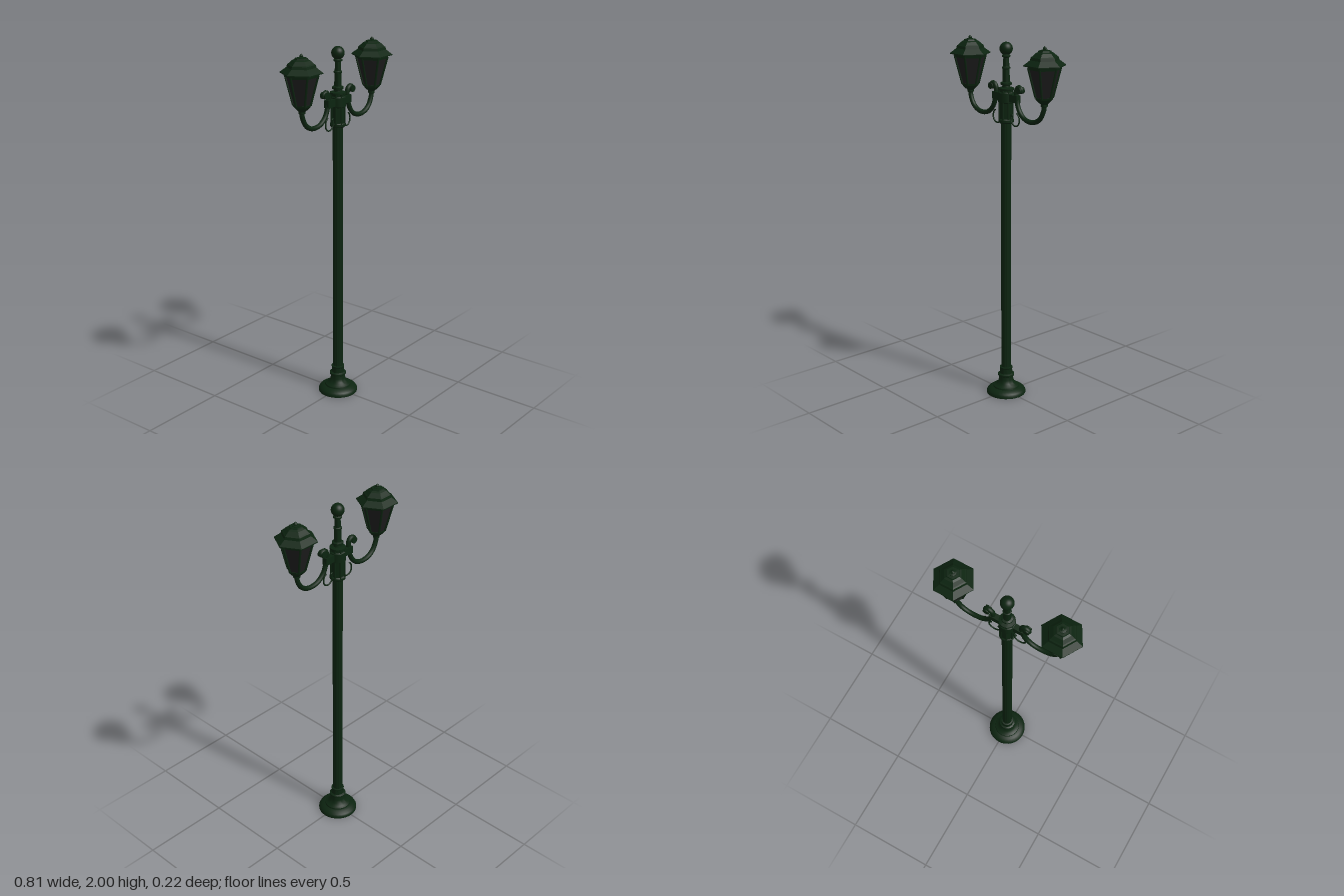
import * as THREE from 'three';
import { toCreasedNormals } from 'three/addons/utils/BufferGeometryUtils.js';

const iron = new THREE.MeshStandardMaterial({ color: 0x0c2410 });
const ironFlat = new THREE.MeshStandardMaterial({ color: 0x0c2410, flatShading: true });
const glass = new THREE.MeshStandardMaterial({ color: 0x1c1c1c, flatShading: true });

function add(parent, name, geometry, material = iron) {
  const mesh = new THREE.Mesh(geometry, material);
  mesh.name = name;
  parent.add(mesh);
  return mesh;
}

// Turned part from [radius, y] pairs, bottom to top
function turned(points, sides = 32) {
  const geo = new THREE.LatheGeometry(points.map(p => new THREE.Vector2(...p)), sides);
  return toCreasedNormals(geo, 0.6);
}

// Six-sided turned part with corners on the x axis
function hexTurned(points) {
  return new THREE.LatheGeometry(points.map(p => new THREE.Vector2(...p)), 6, Math.PI / 6);
}

// Bent rod through [x, y] points
function rod(points, radius, segments = 48) {
  const curve = new THREE.CatmullRomCurve3(points.map(([x, y]) => new THREE.Vector3(x, y, 0)));
  return new THREE.TubeGeometry(curve, segments, radius, 10);
}

// Straight round bar between two points
function bar(a, b, radius) {
  return new THREE.TubeGeometry(new THREE.LineCurve3(a, b), 1, radius, 6);
}

// Shaft with shallow vertical flutes
function flutedShaft(radius, bottom, top, flutes) {
  const geo = new THREE.CylinderGeometry(radius, radius, top - bottom, flutes * 4, 1, true);
  const pos = geo.attributes.position;
  for (let i = 0; i < pos.count; i++) {
    const angle = Math.atan2(pos.getX(i), pos.getZ(i));
    const s = 0.96 + 0.04 * Math.cos(angle * flutes);
    pos.setXYZ(i, pos.getX(i) * s, pos.getY(i), pos.getZ(i) * s);
  }
  geo.translate(0, (top + bottom) / 2, 0);
  geo.computeVertexNormals();
  return geo;
}

function createLantern() {
  const lantern = new THREE.Group();
  lantern.name = 'lantern';
  const low = 1.735, high = 1.892, rLow = 0.045, rHigh = 0.086;

  add(lantern, 'glassPanes', hexTurned([[0, low], [rLow - 0.003, low], [rHigh - 0.003, high], [0, high]]), glass);
  add(lantern, 'lanternCup', hexTurned([
    [0, 1.708], [0.026, 1.708], [0.036, 1.718], [rLow, 1.728], [rLow + 0.003, 1.738], [0, 1.738]]), ironFlat);
  add(lantern, 'topFrame', hexTurned([
    [0, 1.882], [rHigh, 1.882], [rHigh + 0.005, 1.9], [0, 1.9]]), ironFlat);

  // Frame bars along the six corners
  for (let i = 0; i < 6; i++) {
    const a = i * Math.PI / 3, c = Math.cos(a), s = Math.sin(a);
    add(lantern, 'frameBar', bar(
      new THREE.Vector3(c * rLow, low, s * rLow),
      new THREE.Vector3(c * rHigh, high, s * rHigh), 0.006));
  }

  // Flared brim and stepped cap
  add(lantern, 'roof', hexTurned([
    [0, 1.895], [0.09, 1.896], [0.111, 1.9], [0.111, 1.905], [0.077, 1.93], [0.073, 1.944],
    [0.066, 1.949], [0.048, 1.965], [0.036, 1.971], [0.033, 1.977], [0, 1.979]]), ironFlat);
  add(lantern, 'roofFinial', turned([
    [0.018, 1.974], [0.018, 1.98], [0.009, 1.983], [0.01, 1.989], [0.006, 1.994], [0, 2]], 16));
  lantern.position.x = 0.295;
  return lantern;
}

function createSide() {
  const side = new THREE.Group();
  side.name = 'lampArm';
  side.add(createLantern());

  // Swan-neck arm from the lantern to the collar
  add(side, 'arm', rod([
    [0.295, 1.715], [0.293, 1.675], [0.268, 1.625], [0.232, 1.6], [0.19, 1.593],
    [0.145, 1.603], [0.11, 1.632], [0.091, 1.67], [0.083, 1.71]], 0.013));
  add(side, 'armSocket', turned([
    [0.013, 1.688], [0.018, 1.692], [0.018, 1.702], [0.025, 1.71]], 16)).position.x = 0.295;

  // Scroll at the inner end of the arm
  add(side, 'scroll', rod([
    [0.083, 1.7], [0.08, 1.73], [0.086, 1.754], [0.103, 1.764], [0.119, 1.756], [0.121, 1.741]], 0.013));
  const eye = add(side, 'scrollEye', new THREE.CylinderGeometry(0.018, 0.018, 0.034, 20));
  eye.rotation.x = Math.PI / 2;
  eye.position.set(0.111, 1.749, 0);

  // Bracket joining arm and collar
  const bracket = add(side, 'bracket', new THREE.BoxGeometry(0.065, 0.04, 0.03));
  bracket.position.set(0.065, 1.7, 0);

  // Thin curl under the arm
  add(side, 'curl', rod([
    [0.038, 1.6], [0.045, 1.57], [0.065, 1.554], [0.09, 1.558], [0.104, 1.58],
    [0.1, 1.608], [0.084, 1.625]], 0.004));
  add(side, 'curlTip', rod([[0.038, 1.6], [0.041, 1.612], [0.05, 1.609], [0.049, 1.6]], 0.004, 16));
  return side;
}

export function createModel() {
  const model = new THREE.Group();
  model.name = 'streetLamp';

  add(model, 'base', turned([
    [0, 0], [0.11, 0], [0.11, 0.012], [0.104, 0.022], [0.09, 0.032], [0.074, 0.037], [0.072, 0.044],
    [0.06, 0.05], [0.047, 0.062], [0.041, 0.08], [0.039, 0.098], [0.046, 0.103], [0.046, 0.113],
    [0.036, 0.118], [0.034, 0.145], [0.036, 0.148], [0.036, 0.155], [0.026, 0.157]]));
  add(model, 'shaft', flutedShaft(0.028, 0.15, 1.58, 12));

  // Collar carrying the arms
  add(model, 'collar', turned([
    [0.026, 1.562], [0.036, 1.562], [0.042, 1.568], [0.042, 1.58], [0.036, 1.586], [0.036, 1.67],
    [0.043, 1.675], [0.043, 1.725], [0.037, 1.73], [0.037, 1.738], [0.042, 1.741], [0.042, 1.75],
    [0.022, 1.754]]));
  for (let i = 0; i < 8; i++) {
    const a = (i + 0.5) * Math.PI / 4, x = Math.sin(a) * 0.037, z = Math.cos(a) * 0.037;
    add(model, 'collarRib', bar(new THREE.Vector3(x, 1.58, z), new THREE.Vector3(x, 1.74, z), 0.005));
  }

  // Spire with ball on top
  add(model, 'spire', turned([
    [0.022, 1.75], [0.02, 1.762], [0.03, 1.767], [0.03, 1.778], [0.02, 1.783], [0.018, 1.85],
    [0.022, 1.853], [0.022, 1.86], [0.017, 1.864], [0.015, 1.91], [0.023, 1.915], [0.023, 1.922],
    [0.012, 1.93]], 24));
  add(model, 'ball', new THREE.SphereGeometry(0.035, 28, 18)).position.y = 1.957;

  // Two identical arms, turned half a revolution apart
  for (const turn of [0, Math.PI]) {
    const side = createSide();
    side.rotation.y = turn;
    model.add(side);
  }
  return model;
}
